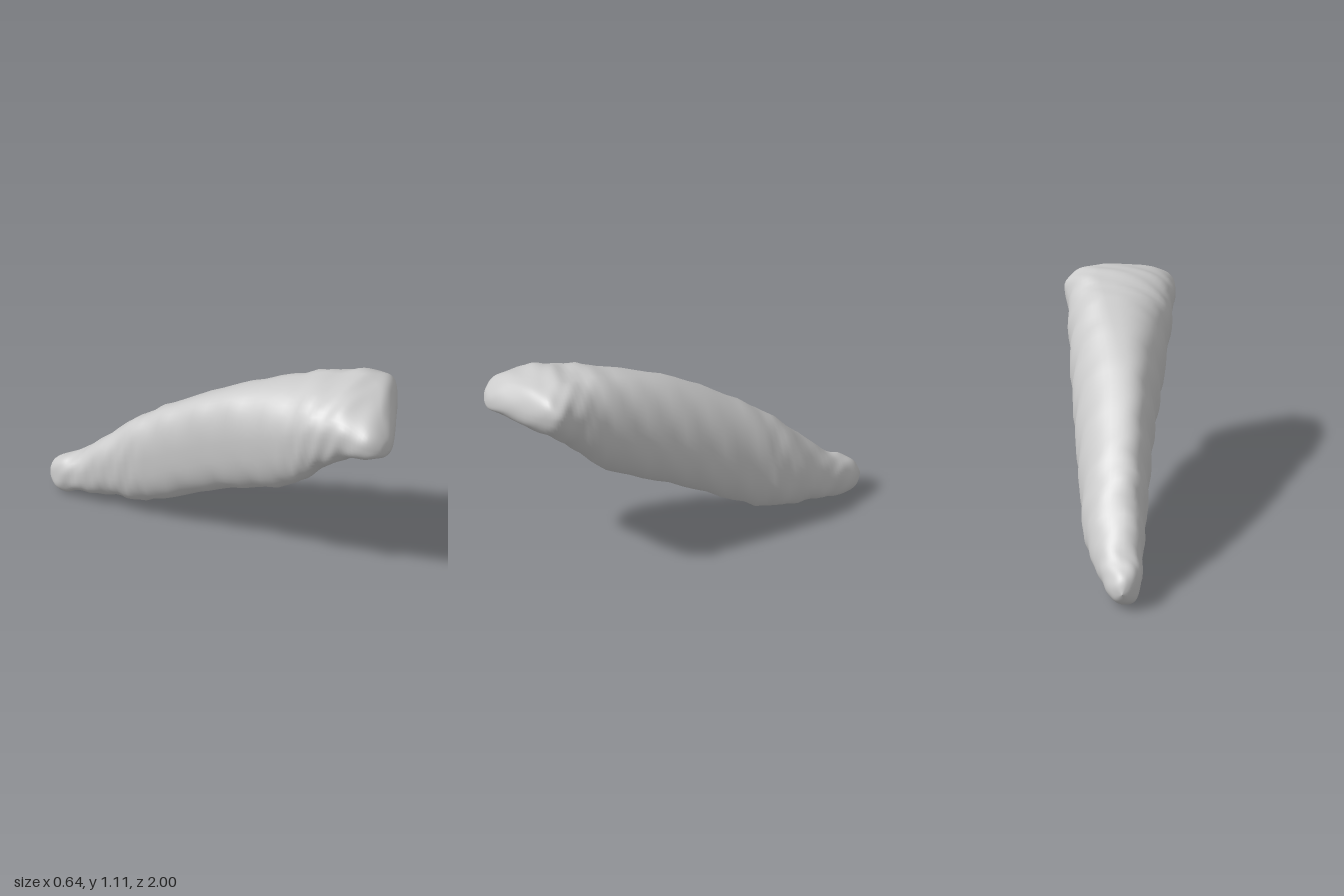
import * as THREE from 'three';

// Cross-sections from the front tip to the back tip. Each gives its z and its
// four extreme points: top (x, y), right side (x, y), bottom (x, y), left side (x, y).
const SECTIONS = [
  [1.0, -0.1, 0.9, -0.1, 0.9, -0.1, 0.9, -0.1, 0.9],
  [0.985, -0.1, 0.96, -0.04, 0.91, -0.1, 0.865, -0.16, 0.91],
  [0.92, -0.05, 1.03, 0.07, 0.94, -0.1, 0.845, -0.215, 0.92],
  [0.79, 0.1, 1.09, 0.27, 0.98, -0.11, 0.795, -0.23, 0.94],
  [0.7, 0.14, 1.105, 0.315, 0.985, -0.12, 0.735, -0.235, 0.92],
  [0.6, 0.12, 1.095, 0.285, 0.94, -0.12, 0.65, -0.24, 0.88],
  [0.4, 0.05, 1.05, 0.245, 0.8, -0.1, 0.47, -0.24, 0.76],
  [0.0, -0.09, 0.885, 0.155, 0.57, -0.1, 0.295, -0.25, 0.57],
  [-0.4, -0.15, 0.635, 0.06, 0.33, -0.13, 0.09, -0.28, 0.34],
  [-0.6, -0.17, 0.47, 0.01, 0.23, -0.16, 0.055, -0.295, 0.24],
  [-0.8, -0.2, 0.275, -0.085, 0.15, -0.21, 0.03, -0.315, 0.14],
  [-0.9, -0.23, 0.215, -0.14, 0.115, -0.24, 0.005, -0.32, 0.11],
  [-0.97, -0.245, 0.165, -0.19, 0.1, -0.245, 0.04, -0.29, 0.1],
  [-1.0, -0.245, 0.1, -0.245, 0.1, -0.245, 0.1, -0.245, 0.1],
];
const STEPS = 6, AROUND = 48;

// Smooth interpolation of the section values
function sectionAt(t) {
  const last = SECTIONS.length - 1;
  const i = Math.min(Math.floor(t), last - 1), f = t - i;
  const a = SECTIONS[Math.max(i - 1, 0)], b = SECTIONS[i];
  const c = SECTIONS[i + 1], d = SECTIONS[Math.min(i + 2, last)];
  return b.map((v, k) => v + 0.5 * f * (c[k] - a[k] +
    f * (2 * a[k] - 5 * v + 4 * c[k] - d[k] + f * (3 * (v - c[k]) + d[k] - a[k]))));
}

// A rounded outline through the four extreme points; the left side is fuller
function outlinePoint([, tx, ty, rx, ry, bx, by, lx, ly], angle) {
  const s = Math.sin(angle), c = Math.cos(angle);
  const power = s < 0 ? 0.82 : 0.95;
  const u = Math.pow(Math.abs(s), power), v = Math.pow(Math.abs(c), power);
  const [sideX, sideY] = s < 0 ? [lx, ly] : [rx, ry];
  const [endX, endY] = c < 0 ? [bx, by] : [tx, ty];
  return [endX + (sideX - endX) * u, sideY + (endY - sideY) * v];
}

export function createModel() {
  const group = new THREE.Group();
  const positions = [], index = [];
  const rows = (SECTIONS.length - 1) * STEPS;

  for (let r = 0; r <= rows; r++) {
    const section = sectionAt(r / STEPS);
    const z = section[0], fade = Math.sin(Math.PI * r / rows);
    for (let j = 0; j < AROUND; j++) {
      const a = j / AROUND * Math.PI * 2;
      const [x, y] = outlinePoint(section, a);
      // Shallow uneven ripples in the skin
      const bump = 0.005 * fade * (Math.sin(31 * z + 3 * a) + 0.7 * Math.sin(57 * z - 5 * a));
      positions.push(x + bump * Math.sin(a), y + bump * Math.cos(a), z);
    }
  }
  for (let r = 0; r < rows; r++) {
    for (let j = 0; j < AROUND; j++) {
      const k = (j + 1) % AROUND;
      const a = r * AROUND + j, b = r * AROUND + k, c = a + AROUND, d = b + AROUND;
      // The end rows shrink to a point, so one triangle is enough there
      if (r < rows - 1) index.push(a, d, c);
      if (r > 0) index.push(a, b, d);
    }
  }

  const geometry = new THREE.BufferGeometry();
  geometry.setAttribute('position', new THREE.Float32BufferAttribute(positions, 3));
  geometry.setIndex(index);
  geometry.computeVertexNormals();

  const body = new THREE.Mesh(geometry, new THREE.MeshStandardMaterial({ color: 0xcccccc }));
  body.name = 'slantedBody';
  group.add(body);
  return group;
}
